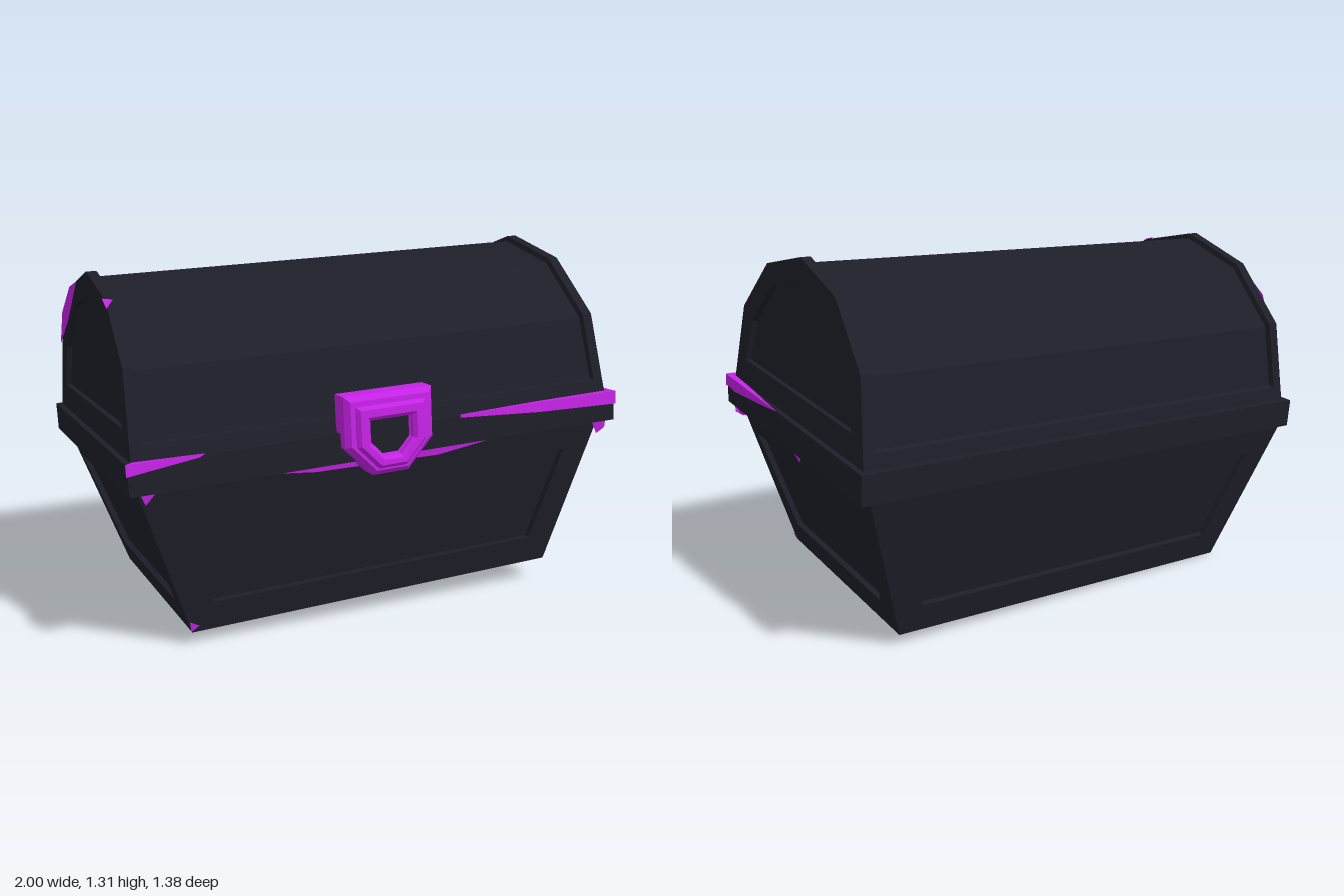
import * as THREE from 'three';

const dark = new THREE.MeshStandardMaterial({ color: 0x1e1e29, flatShading: true });
dark.name = 'charcoal';
const purple = new THREE.MeshStandardMaterial({ color: 0xcc24ee, flatShading: true, side: THREE.DoubleSide });
purple.name = 'purple';

// flat polygons (corner lists, counter-clockwise from outside) to one geometry
function polygons(list) {
  const pos = [];
  for (const p of list)
    for (let i = 1; i < p.length - 1; i++) pos.push(...p[0], ...p[i], ...p[i + 1]);
  const g = new THREE.BufferGeometry();
  g.setAttribute('position', new THREE.Float32BufferAttribute(pos, 3));
  g.computeVertexNormals();
  return g;
}

// frame around a sunken panel
function framedPanel(outer, inner, depth) {
  const [a, b, c] = outer.slice(0, 3).map(p => new THREE.Vector3(...p));
  const n = b.sub(a).cross(c.sub(a)).normalize().multiplyScalar(-depth);
  const sunk = inner.map(p => [p[0] + n.x, p[1] + n.y, p[2] + n.z]);
  const faces = [sunk];
  outer.forEach((o, i) => {
    const j = (i + 1) % outer.length;
    faces.push([o, outer[j], inner[j], inner[i]], [inner[i], inner[j], sunk[j], sunk[i]]);
  });
  return polygons(faces);
}

// skin between rows of points
function loft(rows) {
  const faces = [];
  for (let i = 0; i < rows.length - 1; i++)
    for (let k = 0; k < rows[i].length - 1; k++)
      faces.push([rows[i][k], rows[i][k + 1], rows[i + 1][k + 1], rows[i + 1][k]]);
  return polygons(faces);
}

export function createModel() {
  const model = new THREE.Group();
  model.name = 'treasureChest';
  const chest = new THREE.Group();
  chest.name = 'chest';
  model.add(chest);
  const body = new THREE.Group();
  body.name = 'body';
  body.position.z = -0.02;
  chest.add(body);
  const add = (name, geo, mat, parent = chest) => {
    const m = new THREE.Mesh(geo, mat);
    m.name = name;
    parent.add(m);
    return m;
  };
  const addPair = (first, second, geo, parent) => {
    add(first, geo, dark, parent);
    add(second, geo, dark, parent).rotation.y = Math.PI;
  };

  // tapered body with a sunken panel on each side
  const H = 0.57;
  const halfX = y => 0.725 + 0.18 * y / H;
  const halfZ = y => 0.44 + 0.113 * y / H;
  const front = (x, y, lift = 0) => [x, y, halfZ(y) + lift];
  const side = (z, y, lift = 0) => [halfX(y) + lift, y, z];
  addPair('bodyFront', 'bodyBack', framedPanel(
    [front(-0.725, 0), front(0.725, 0), front(0.905, H), front(-0.905, H)],
    [front(-0.645, 0.105), front(0.645, 0.105), front(0.76, 0.46), front(-0.76, 0.46)], 0.02), body);
  addPair('bodyLeft', 'bodyRight', framedPanel(
    [side(0.44, 0), side(-0.44, 0), side(-0.553, H), side(0.553, H)],
    [side(0.355, 0.1), side(-0.355, 0.1), side(-0.475, 0.46), side(0.475, 0.46)], 0.02), body);
  add('bodyBottom', polygons([[[-0.725, 0, -0.44], [0.725, 0, -0.44], [0.725, 0, 0.44], [-0.725, 0, 0.44]]]), dark, body);

  // rim between body and lid
  add('rim', new THREE.BoxGeometry(1.88, 0.105, 1.166).translate(0, 0.6175, 0), dark);

  // lid: raised end ribs and base rails around a faceted barrel
  const mirrorProfile = h => [...h.map(([z, y]) => [-z, y]), ...h.slice(0, -1).reverse()];
  const arch = [[0.555, 0.665], [0.491, 0.965], [0.285, 1.165], [0, 1.24]];
  const ribs = mirrorProfile([arch[0], [0.543, 0.72], [0.542, 0.724], ...arch.slice(1)]);
  const barrel = mirrorProfile([arch[0], [0.543, 0.72], [0.523, 0.724], [0.475, 0.952], [0.275, 1.147], [0, 1.22]]);
  const endX = y => 0.92 - 0.03 * (y - 0.665) / 0.575;
  const row = (profile, s, inset) => profile.map(([z, y]) => [s * (endX(y) - inset), y, z]);
  add('lidBarrel', loft([
    row(ribs, -1, 0), row(ribs, -1, 0.038), row(barrel, -1, 0.043),
    row(barrel, 1, 0.043), row(ribs, 1, 0.038), row(ribs, 1, 0)]), dark);
  const panel = mirrorProfile([[0.455, 0.765], [0.405, 0.925], [0.235, 1.095], [0, 1.152]]);
  addPair('lidLeftEnd', 'lidRightEnd', framedPanel(row(mirrorProfile(arch), 1, 0), row(panel, 1, 0), 0.02));

  // clasp: stepped shield rings around a dark keyhole plate
  const shield = s => [[-0.15, 0.125], [-0.15, -0.03], [-0.06, -0.125], [0.06, -0.125], [0.15, -0.03], [0.15, 0.125]]
    .map(([x, y]) => new THREE.Vector2(x * s, y * s - (1 - s) * 0.025));
  const ring = (name, outer, inner, z0, z1, bevel) => {
    const s = new THREE.Shape(shield(outer));
    s.holes.push(new THREE.Path(shield(inner)));
    const g = new THREE.ExtrudeGeometry(s, {
      depth: z1 - z0 - bevel, bevelEnabled: true, bevelSegments: 1, bevelThickness: bevel, bevelSize: bevel });
    add(name, g.translate(-0.03, 0.66, z0), purple);
  };
  ring('claspBase', 1, 0.6, 0.548, 0.635, 0.018);
  ring('claspRing', 0.8, 0.62, 0.57, 0.652, 0.012);
  const plate = new THREE.ExtrudeGeometry(new THREE.Shape(shield(0.66)), { depth: 0.08, bevelEnabled: false });
  add('keyholePlate', plate.translate(-0.03, 0.66, 0.54), dark);

  // glowing splinters on the rim and lid
  const rimF = (x, y) => [x, y, 0.589];
  const rimS = (z, y) => [0.946, y, z];
  const rimT = (x, z) => [x, 0.676, z];
  const lidEnd = (z, y) => [-endX(y) - 0.015, y, z];
  const rimShards = {
    rimFrontLeft: [rimF(0.27, 0.664), rimF(0.6, 0.64), rimF(0.946, 0.627), rimF(0.946, 0.676), rimF(0.27, 0.676)],
    rimFrontRight: [rimF(-0.946, 0.635), rimF(-0.7, 0.665), rimF(-0.68, 0.676), rimF(-0.946, 0.676)],
    rimSide: [rimS(0.589, 0.635), rimS(0.5, 0.628), rimS(0.2, 0.66), rimS(0.08, 0.676), rimS(0.589, 0.676)],
    rimTopFront: [rimT(0.27, 0.589), rimT(0.946, 0.589), rimT(0.92, 0.558), rimT(0.6, 0.565)],
    rimTopSide: [rimT(0.946, 0.589), rimT(0.946, 0.08), rimT(0.925, 0.4), rimT(0.92, 0.558)],
    rimTopRight: [rimT(-0.946, 0.589), rimT(-0.68, 0.589), rimT(-0.92, 0.565)],
    lidEndBack: [lidEnd(-0.45, 0.93), lidEnd(-0.39, 1.06), lidEnd(-0.23, 1.17), lidEnd(-0.1, 1.2), lidEnd(-0.28, 1.04)],
    lidEndFront: [[-0.905, 1.172, 0.288], [-0.87, 1.166, 0.294], [-0.9, 1.14, 0.32]],
  };
  for (const [name, pts] of Object.entries(rimShards)) add(name + 'Splinter', polygons([pts]), purple);

  // glowing splinters on the body
  const f = (x, y) => front(x, y, 0.022);
  const s = (z, y) => side(z, y, 0.02);
  const bodyShards = {
    bodyFrontMiddle: [f(-0.49, 0.566), f(-0.28, 0.54), f(0.2, 0.53), f(0.36, 0.55), f(0.47, 0.566)],
    bodyFrontRight: [f(-0.9, 0.566), f(-0.88, 0.52), f(-0.84, 0.566)],
    bodyFrontLeft: [f(0.86, 0.566), f(0.89, 0.51), f(0.925, 0.53), f(0.925, 0.566)],
    bodySideFront: [s(0.575, 0.566), s(0.56, 0.52), s(0.51, 0.53), s(0.49, 0.566)],
    bodySideMiddle: [s(0.05, 0.566), s(-0.01, 0.515), s(-0.07, 0.566)],
    bodyFootRight: [front(-0.735, 0.045, 0.006), front(-0.7, 0.025, 0.006), front(-0.73, 0.005, 0.006)],
    bodyFootLeft: [side(0.44, 0.025, 0.006), side(0.415, 0.01, 0.006), side(0.425, 0.03, 0.006)],
  };
  for (const [name, pts] of Object.entries(bodyShards)) add(name + 'Splinter', polygons([pts]), purple, body);

  // slight turn and tilt of the whole chest
  const X = new THREE.Vector3(0.993, 0.029, -0.112).normalize();
  const Y = new THREE.Vector3(0.111, 0.056, 0.99).cross(X).normalize();
  const Z = X.clone().cross(Y);
  chest.quaternion.setFromRotationMatrix(new THREE.Matrix4().makeBasis(X, Y, Z));
  chest.position.set(0.022, 0.047, 0.029);
  return model;
}
